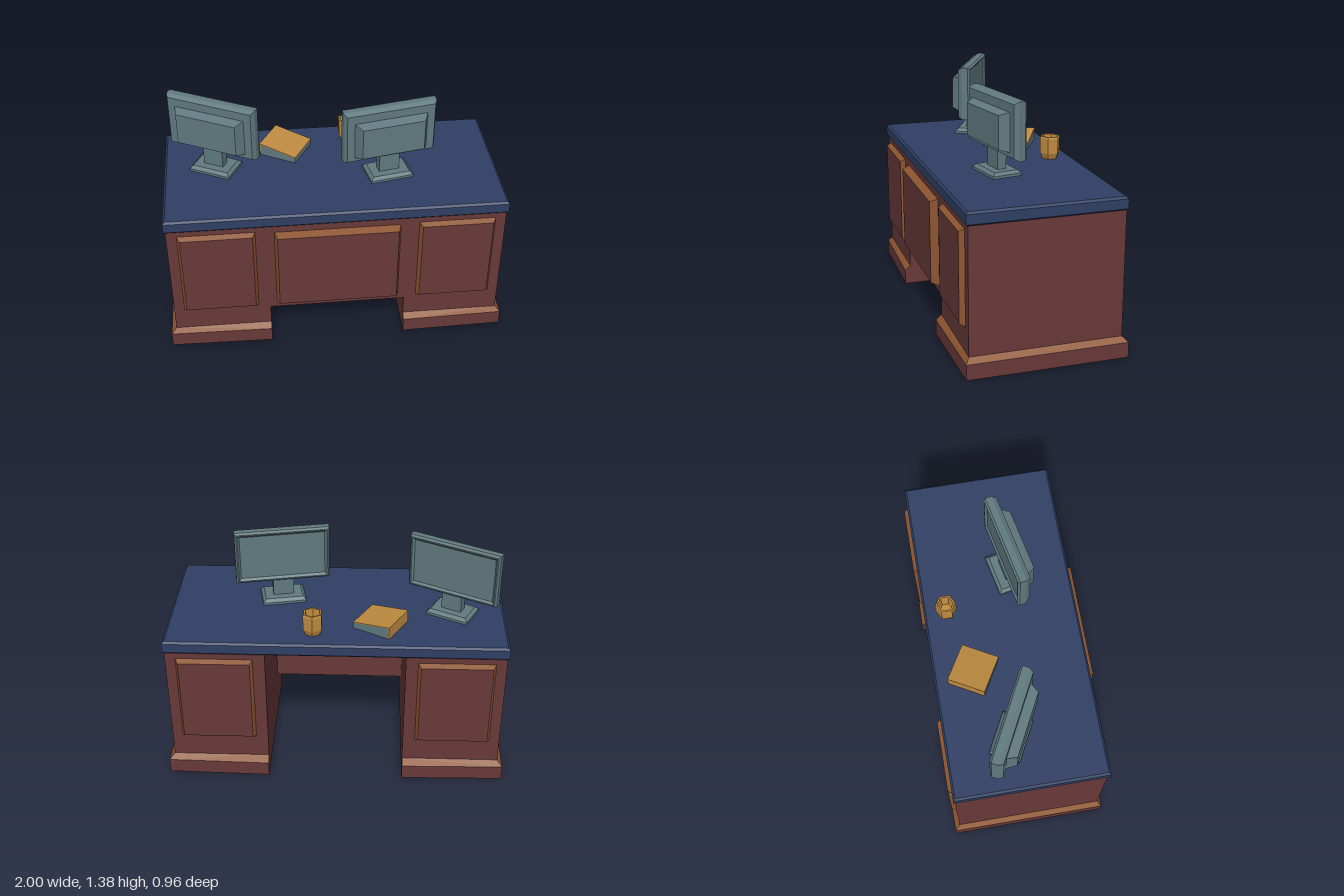
import * as THREE from 'three';

// Flat-shaded loft through rectangles [x0, x1, z0, z1, y, flare], listed from low y to high y.
// flare widens the x0 end in z; sides picks faces: 0 +z, 1 +x, 2 -z, 3 -x.
function loft(rings, { start = true, end = true, sides = [0, 1, 2, 3] } = {}) {
  const pos = [];
  const quad = (a, b, c, d) => pos.push(...a, ...b, ...c, ...a, ...c, ...d);
  const pts = rings.map(([x0, x1, z0, z1, y, f = 0]) => [
    [x0, y, z1 + f], [x1, y, z1], [x1, y, z0], [x0, y, z0 - f],
  ]);
  for (let i = 0; i < pts.length - 1; i++) {
    for (const s of sides) {
      const n = (s + 1) % 4;
      quad(pts[i][s], pts[i][n], pts[i + 1][n], pts[i + 1][s]);
    }
  }
  const a = pts[0], b = pts[pts.length - 1];
  if (start) quad(a[3], a[2], a[1], a[0]);
  if (end) quad(b[0], b[1], b[2], b[3]);
  const geo = new THREE.BufferGeometry();
  geo.setAttribute('position', new THREE.Float32BufferAttribute(pos, 3));
  geo.computeVertexNormals();
  return geo;
}

// Centred rectangle ring from half sizes
const ring = (hx, hz, y) => [-hx, hx, -hz, hz, y];

export function createModel() {
  const mat = (name, color, side = THREE.FrontSide) => {
    const m = new THREE.MeshStandardMaterial({ color, side });
    m.name = name;
    return m;
  };
  const wood = mat('dark red wood', 0x693939, THREE.DoubleSide);
  const trim = mat('brown trim', 0x8d5530, THREE.DoubleSide);
  const navy = mat('navy desktop', 0x2f3f65);
  const grey = mat('blue grey plastic', 0x617a7f);
  const gold = mat('gold', 0xc08c41);

  const model = new THREE.Group();
  model.name = 'officeDesk';
  const add = (parent, name, geo, material) => {
    const m = new THREE.Mesh(geo, material);
    m.name = name;
    parent.add(m);
    return m;
  };
  const addGroup = (parent, name) => {
    const g = new THREE.Group();
    g.name = name;
    parent.add(g);
    return g;
  };

  // Raised panel with a bevelled border, facing +z
  function raisedPanel(parent, name, hx, hy, depth, x, y, z) {
    const g = addGroup(parent, name);
    const inset = 0.016;
    const border = loft([ring(hx, hy, 0), ring(hx - inset, hy - inset, depth)], { start: false, end: false });
    add(g, 'panelBevel', border.rotateX(Math.PI / 2), trim);
    const face = new THREE.PlaneGeometry(2 * (hx - inset), 2 * (hy - inset)).translate(0, 0, depth);
    add(g, 'panelFace', face, wood);
    g.position.set(x, y, z);
    return g;
  }

  // Two pedestals with open undersides, mirrored across x
  for (const s of [1, -1]) {
    const g = addGroup(model, s > 0 ? 'leftPedestal' : 'rightPedestal');
    const body = [0.4, 0.97, -0.44, 0.435];
    const foot = [0.4, 1, -0.47, 0.457];
    add(g, 'pedestalBody', loft([[...body, 0.12], [...body, 0.85]], { start: false }), wood);
    add(g, 'plinth', loft([[...foot, 0, 0.012], [...foot, 0.09, 0.012]], { start: false, end: false }), wood);
    const slope = [[...foot, 0.09, 0.012], [...body, 0.12]];
    add(g, 'plinthBevel', loft(slope, { start: false, end: false, sides: [0, 1, 2] }), trim);
    add(g, 'plinthInnerStrip', loft(slope, { start: false, end: false, sides: [3] }), wood);
    raisedPanel(g, 'frontPanel', 0.22, 0.274, 0.03, 0.69, 0.541, 0.435);
    raisedPanel(g, 'backPanel', 0.22, 0.274, 0.03, 0.69, 0.541, -0.44).rotation.y = Math.PI;
    g.scale.x = s;
  }

  // Centre section closing the front of the kneehole
  add(model, 'modestyPanel', loft([[-0.4, 0.4, 0.23, 0.435, 0.24], [-0.4, 0.4, 0.23, 0.435, 0.85]]), wood);
  raisedPanel(model, 'centrePanel', 0.362, 0.261, 0.046, 0, 0.545, 0.435);

  // Desktop slab with chamfered edges
  add(model, 'desktop', loft([
    ring(0.967, 0.435, 0.847), ring(0.98, 0.447, 0.859),
    ring(0.98, 0.447, 0.914), ring(0.967, 0.435, 0.926),
  ]), navy);

  // Monitors, screens facing -z
  function monitor(name, x, z, turn) {
    const g = addGroup(model, name);
    add(g, 'monitorBase', loft([
      ring(0.128, 0.09, 0), ring(0.128, 0.09, 0.015), ring(0.11, 0.072, 0.032),
    ]), grey);
    add(g, 'monitorNeck', new THREE.BoxGeometry(0.122, 0.13, 0.055).translate(0, 0.08, 0), grey);
    const housing = loft([
      ring(0.248, 0.135, -0.026), ring(0.26, 0.148, -0.038), ring(0.267, 0.155, -0.038),
      ring(0.277, 0.165, -0.026), ring(0.277, 0.165, 0.012), ring(0.262, 0.15, 0.038),
    ]).rotateX(Math.PI / 2).translate(0, 0.294, 0);
    add(g, 'screenHousing', housing, grey);
    const bulge = loft([ring(0.218, 0.113, 0.037), ring(0.186, 0.095, 0.092)], { start: false })
      .rotateX(Math.PI / 2).translate(0, 0.281, 0);
    add(g, 'rearHousing', bulge, grey);
    g.position.set(x, 0.926, z);
    g.rotation.y = turn;
  }
  monitor('rightMonitor', -0.675, -0.068, -0.476);
  monitor('leftMonitor', 0.33, 0.08, 0.194);

  // Wedge-shaped book or folder: grey pages, gold cover and spine
  const book = addGroup(model, 'book');
  const wedge = (points, depth) => new THREE.ExtrudeGeometry(
    new THREE.Shape(points.map(([x, y]) => new THREE.Vector2(x, y))),
    { depth, bevelEnabled: false },
  ).translate(0, 0, -depth / 2);
  add(book, 'pages', wedge([[-0.112, 0], [0.117, 0], [0.117, 0.032], [-0.112, 0.07]], 0.222), grey);
  add(book, 'cover', wedge([[-0.118, 0], [-0.112, 0], [-0.112, 0.07], [0.118, 0.032], [0.118, 0.038], [-0.118, 0.076]], 0.224), gold);
  book.position.set(-0.253, 0.926, -0.215);
  book.rotation.y = -0.51;

  // Six-sided cup, hollow at the top
  const profile = [[0, 0], [0.046, 0], [0.06, 0.035], [0.062, 0.125], [0.057, 0.135], [0.046, 0.135], [0.036, 0.05], [0, 0.05]];
  const cupGeo = new THREE.LatheGeometry(profile.map(([r, y]) => new THREE.Vector2(r, y)), 6).toNonIndexed();
  cupGeo.computeVertexNormals();
  add(model, 'cup', cupGeo, gold).position.set(0.133, 0.926, -0.313);

  return model;
}
